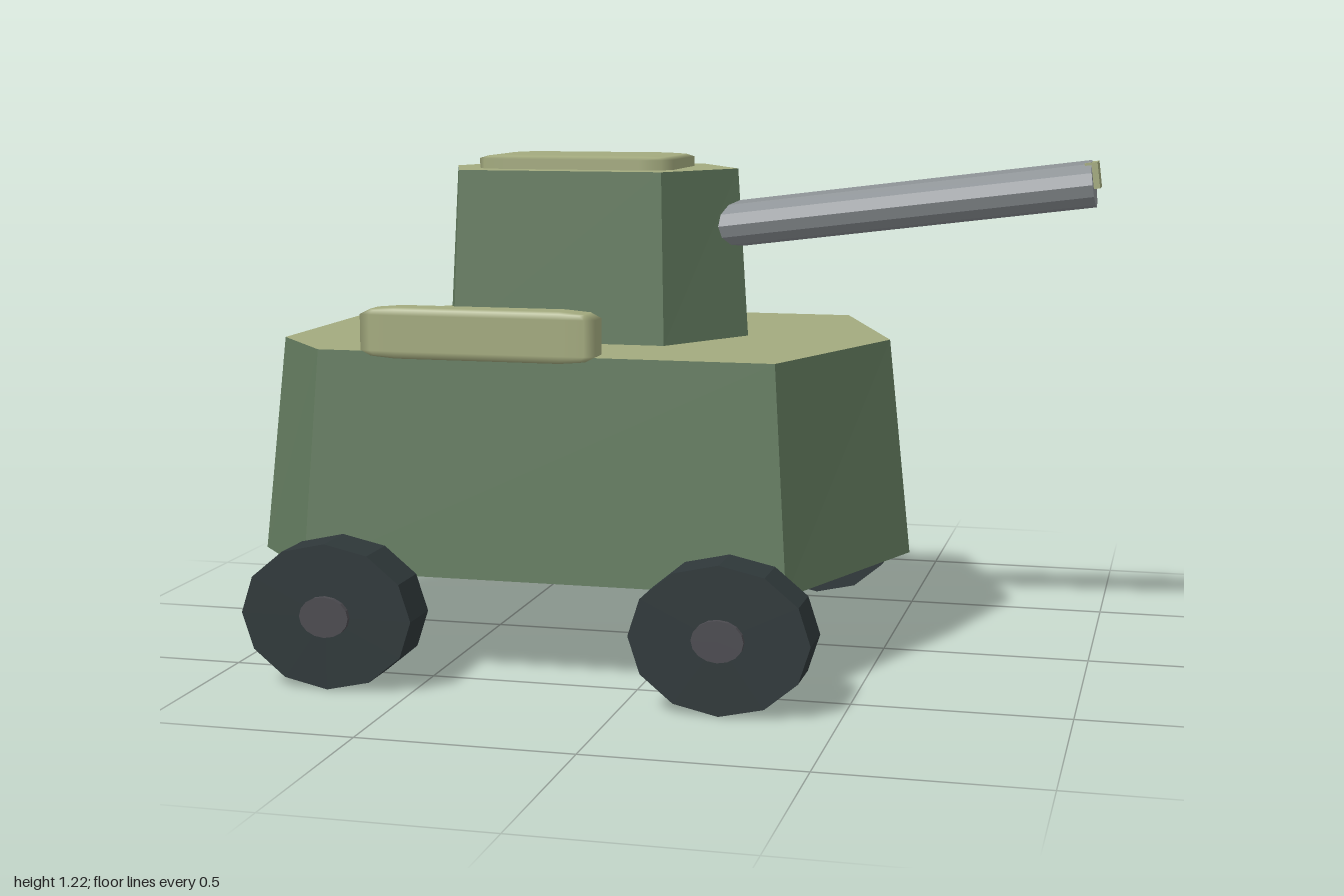
import * as THREE from 'three';
import { RoundedBoxGeometry } from 'three/addons/geometries/RoundedBoxGeometry.js';

const material = (name, color, flatShading = true) => {
  const m = new THREE.MeshStandardMaterial({ color, flatShading });
  m.name = name;
  return m;
};

// Tapered prism between two [x, z] outlines; group 0 = walls, group 1 = caps
function taperedPrism(lower, y0, upper, y1) {
  const pos = [];
  const b = lower.map(([x, z]) => [x, y0, z]);
  const t = upper.map(([x, z]) => [x, y1, z]);
  const n = b.length;
  const tri = (...points) => points.forEach((p) => pos.push(...p));
  for (let i = 0; i < n; i++) {
    const j = (i + 1) % n;
    tri(b[i], b[j], t[j]);
    tri(b[i], t[j], t[i]);
  }
  const wallCount = pos.length / 3;
  for (let i = 1; i < n - 1; i++) {
    tri(t[0], t[i], t[i + 1]);
    tri(b[0], b[i + 1], b[i]);
  }
  const geo = new THREE.BufferGeometry();
  geo.setAttribute('position', new THREE.Float32BufferAttribute(pos, 3));
  geo.addGroup(0, wallCount, 0);
  geo.addGroup(wallCount, pos.length / 3 - wallCount, 1);
  geo.computeVertexNormals();
  return geo;
}

// Complete a half outline (z >= 0, back to front) by mirroring it in z
const mirrored = (half) => [
  ...half,
  ...half.filter(([, z]) => z > 0).reverse().map(([x, z]) => [x, -z]),
];

export function createModel() {
  const model = new THREE.Group();
  model.name = 'armouredCar';

  const green = material('armourGreen', 0x627a5e);
  const khaki = material('khakiDeck', 0xa3aa7e);
  khaki.flatShading = false;
  const rubber = material('tyreRubber', 0x2f383a);
  const hubGrey = material('hubGrey', 0x4c4b50);
  const steel = material('barrelSteel', 0x898e92);

  const add = (name, geo, mat, x = 0, y = 0, z = 0) => {
    const mesh = new THREE.Mesh(geo, mat);
    mesh.name = name;
    mesh.position.set(x, y, z);
    model.add(mesh);
    return mesh;
  };

  // Hull and turret: green walls, khaki top and underside
  add('hull', taperedPrism(
    mirrored([[-1, 0.315], [-0.81, 0.53], [0.355, 0.53], [0.56, 0]]), 0.25,
    mirrored([[-0.945, 0.295], [-0.775, 0.497], [0.32, 0.497], [0.505, 0]]), 0.775,
  ), [green, khaki]);
  add('turret', taperedPrism(
    mirrored([[-0.62, 0], [-0.527, 0.247], [0, 0.247], [0.152, 0]]), 0.775,
    mirrored([[-0.595, 0], [-0.512, 0.23], [-0.01, 0.23], [0.126, 0]]), 1.185,
  ), [green, khaki]);

  // Softly chamfered hatch and side stowage rolls
  const padGeometry = new RoundedBoxGeometry(1, 1, 1, 1, 0.15);
  add('hatch', padGeometry, khaki, -0.255, 1.188, 0).scale.set(0.49, 0.06, 0.31);
  for (const side of [1, -1]) {
    add(side > 0 ? 'frontStowage' : 'backStowage', padGeometry, khaki, -0.38, 0.82, side * 0.478)
      .scale.set(0.57, 0.12, 0.075);
  }

  // Raised gun barrel with a small muzzle block
  const angle = Math.atan2(0.11, 0.875);
  const barrelLength = 0.95;
  const endX = 0.984;
  const endY = 1.159;
  const barrel = add('gunBarrel',
    new THREE.CylinderGeometry(1, 1, barrelLength, 12), steel,
    endX - Math.cos(angle) * barrelLength / 2,
    endY - Math.sin(angle) * barrelLength / 2, 0);
  barrel.scale.set(0.056, 1, 0.07);
  barrel.rotation.z = angle - Math.PI / 2;
  const muzzle = add('muzzleBlock', new THREE.BoxGeometry(0.03, 0.062, 0.078), khaki, 0.981, 1.179, 0);
  muzzle.rotation.z = angle;

  // Four oval wheels with hubs facing outwards
  const wheelGeometry = new THREE.CylinderGeometry(0.172, 0.172, 0.117, 12).rotateX(Math.PI / 2);
  const hubGeometry = new THREE.CylinderGeometry(0.048, 0.048, 0.06, 16).rotateX(Math.PI / 2);
  for (const x of [-0.7, 0.23]) {
    for (const side of [1, -1]) {
      const end = x > 0 ? 'fore' : 'rear';
      const flank = side > 0 ? 'Front' : 'Back';
      add(`${end}${flank}Wheel`, wheelGeometry, rubber, x, 0.175, side * 0.609).scale.x = 1.21;
      add(`${end}${flank}Hub`, hubGeometry, hubGrey, x, 0.177, side * 0.65).scale.x = 1.25;
    }
  }
  // Settle the tyres on the ground
  model.position.y = -0.003;
  return model;
}
